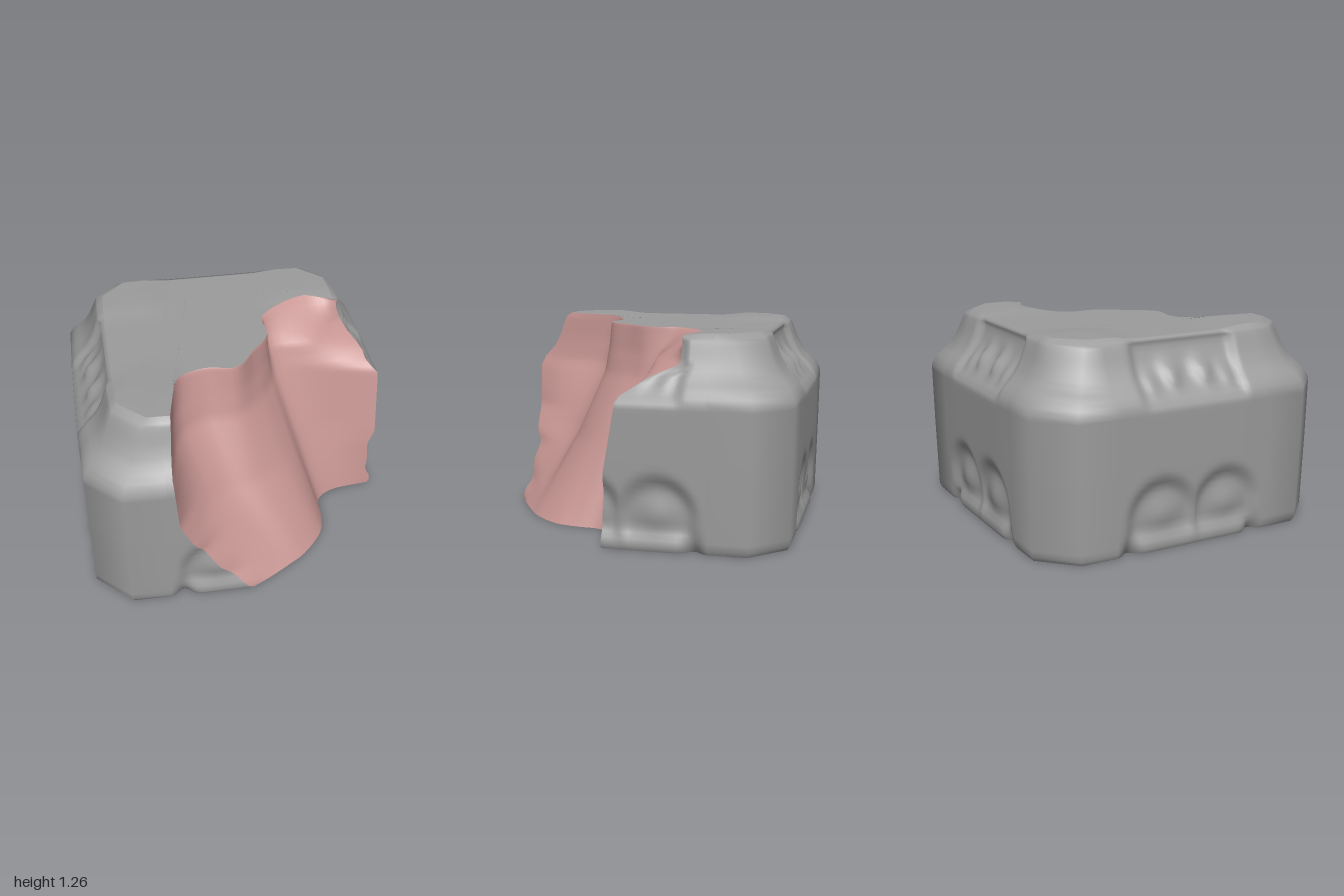
import * as THREE from 'three';

const { smoothstep, lerp, clamp } = THREE.MathUtils;
const TOP = 1.26;

// Linear lookup in [key, value] pairs
function lookup(pairs, k) {
  for (let i = 1; i < pairs.length; i++) {
    const [a, va] = pairs[i - 1], [b, vb] = pairs[i];
    if (k <= b) return lerp(va, vb, clamp((k - a) / (b - a), 0, 1));
  }
  return pairs[pairs.length - 1][1];
}

// Outline by height: half width, corner chamfer, and the two ends of the break
const HALF = [[0, 0.965], [0.03, 0.98], [0.5, 0.99], [0.88, 0.995], [0.94, 0.965], [1.02, 0.89], [1.1, 0.845], [1.21, 0.805], [1.24, 0.79], [TOP, 0.755]];
const CHAMFER = [[0, 0.22], [0.9, 0.22], [1.1, 0.17], [TOP, 0.16]];
const BREAK_FRONT_X = [[0, 0], [0.2, -0.2], [0.45, -0.37], [0.6, -0.45], [0.95, -0.48], [TOP, -0.46]];
const BREAK_RIGHT_Z = [[0, 0.12], [0.45, 0.1], [0.9, 0.02], [1.02, -0.16], [1.08, -0.32], [TOP, -0.33]];

// Inner points of the broken face at five heights
const BREAK_LEVELS = [
  [0, [[0.12, 0.9], [0.25, 0.82], [0.38, 0.73], [0.53, 0.55], [0.57, 0.4], [0.59, 0.24], [0.69, 0.16]]],
  [0.5, [[-0.22, 0.7], [-0.08, 0.58], [0.1, 0.53], [0.28, 0.4], [0.39, 0.25], [0.45, 0.1], [0.66, 0.04]]],
  [0.92, [[-0.38, 0.52], [-0.21, 0.38], [0, 0.37], [0.17, 0.22], [0.26, 0.08], [0.33, -0.03], [0.62, -0.04]]],
  [1.08, [[-0.38, 0.45], [-0.2, 0.34], [0, 0.34], [0.14, 0.19], [0.25, 0.04], [0.29, -0.08], [0.58, -0.12]]],
  [TOP, [[-0.37, 0.39], [-0.2, 0.3], [0, 0.32], [0.13, 0.16], [0.245, 0.01], [0.26, -0.22], [0.57, -0.4]]],
];

// Inward depth of the worn reliefs repeated on each side
function relief(u, y) {
  const a = Math.abs(u);
  const blob = (cu, cy, ru, ry) => Math.exp(-(((a - cu) / ru) ** 2) - ((y - cy) / ry) ** 2);
  // sides bow slightly towards the corners
  let d = 0.012 * smoothstep(a, 0.3, 0.75);
  // arched hollow under two brows
  const r = Math.hypot((a - 0.22) / 0.27, Math.max(0, y - 0.2) / 0.28);
  d += 0.045 * (1 - smoothstep(r, 0.6, 1)) * smoothstep(y, 0.04, 0.14);
  d -= 0.03 * blob(0.22, 0.22, 0.12, 0.1);
  // notches at the foot
  d += 0.06 * blob(0.43, 0, 0.05, 0.08);
  // recessed panel with small blocks below the rim
  d += 0.04 * (1 - smoothstep(a, 0.31, 0.38)) * smoothstep(y, 0.86, 0.95) * (1 - smoothstep(y, 1.19, TOP));
  d -= 0.055 * blob(0.11, 1.03, 0.06, 0.06);
  d -= 0.03 * blob(0.26, 1.0, 0.05, 0.05);
  return d;
}

// Level top whose corners stand slightly proud
function topHeight(x, z) {
  return TOP - 0.018 * (1 - smoothstep(Math.min(Math.abs(x), Math.abs(z)), 0.26, 0.48));
}

// Outer wall at one height, from the right end of the break round the back to the front end
function wallRing(y) {
  const h = lookup(HALF, y), e = h - lookup(CHAMFER, y);
  const ring = [];
  for (let f = 0; f < 4; f++) {
    const from = f === 0 ? -lookup(BREAK_RIGHT_Z, y) : -0.52;
    const to = f === 3 ? lookup(BREAK_FRONT_X, y) : 0.52;
    const n = f === 0 || f === 3 ? 24 : 48;
    const us = Array.from({ length: n + 1 }, (_, i) => lerp(from, to, i / n));
    if (f > 0) us.unshift(-e);
    if (f < 3) us.push(e);
    for (const u of us) {
      const w = h - relief(u, y);
      ring.push([[w, -u], [-u, -w], [-w, u], [u, w]][f]);
    }
  }
  return ring;
}

// Broken face at one height, joining both ends of the wall
function breakRing(y) {
  const wall = wallRing(y);
  let k = 1;
  while (k < BREAK_LEVELS.length - 1 && y > BREAK_LEVELS[k][0]) k++;
  const [ya, pa] = BREAK_LEVELS[k - 1], [yb, pb] = BREAK_LEVELS[k];
  const t = clamp((y - ya) / (yb - ya), 0, 1);
  const inner = pa.map((p, i) => [lerp(p[0], pb[i][0], t), lerp(p[1], pb[i][1], t)]);
  const pts = [wall[wall.length - 1], ...inner, wall[0]];
  const curve = new THREE.CatmullRomCurve3(pts.map(([x, z]) => new THREE.Vector3(x, 0, z)), false, 'centripetal');
  return Array.from({ length: 41 }, (_, i) => curve.getPoint(i / 40)).map((p) => [p.x, p.z]);
}

// Skin a stack of equal-length rows of [x, y, z]
function skin(rows) {
  const n = rows[0].length, index = [];
  for (let j = 0; j < rows.length - 1; j++) {
    for (let i = 0; i < n - 1; i++) {
      const a = j * n + i, b = a + n;
      index.push(a, a + 1, b, a + 1, b + 1, b);
    }
  }
  const g = new THREE.BufferGeometry();
  g.setAttribute('position', new THREE.Float32BufferAttribute(rows.flat(2), 3));
  g.setIndex(index);
  g.computeVertexNormals();
  return g;
}

function stack(ringAt, levels) {
  return skin(levels.map((y) => ringAt(y).map(([x, z]) => [x, y === TOP ? topHeight(x, z) : y, z])));
}

// Close an outline with rows shrinking almost to a centre point
function cap(ring, cx, cz, height, up) {
  const loop = up ? ring : ring.slice().reverse();
  const rows = [];
  for (let j = 0; j <= 10; j++) {
    const s = Math.max(1 - j / 10, 0.001);
    rows.push(loop.map(([x, z]) => {
      const px = lerp(cx, x, s), pz = lerp(cz, z, s);
      return [px, height(px, pz), pz];
    }));
  }
  return skin(rows);
}

export function createModel() {
  const group = new THREE.Group();
  const grey = new THREE.MeshStandardMaterial({ color: 0x9c9c9c, side: THREE.DoubleSide });
  const pink = new THREE.MeshStandardMaterial({ color: 0xc89794, side: THREE.DoubleSide });
  const add = (name, geometry, material) => {
    const mesh = new THREE.Mesh(geometry, material);
    mesh.name = name;
    group.add(mesh);
  };

  const levels = [0, 0.03];
  for (let y = 0.07; y < 1.2; y += 0.035) levels.push(y);
  levels.push(1.215, 1.235, TOP);
  const outline = (y) => [...wallRing(y), ...breakRing(y).slice(1)];

  add('outerWall', stack(wallRing, levels), grey);
  add('brokenFace', stack(breakRing, levels), pink);
  add('top', cap(outline(TOP), -0.16, -0.7, topHeight, true), grey);
  add('base', cap(outline(0), 0, -0.3, () => 0, false), grey);
  return group;
}
